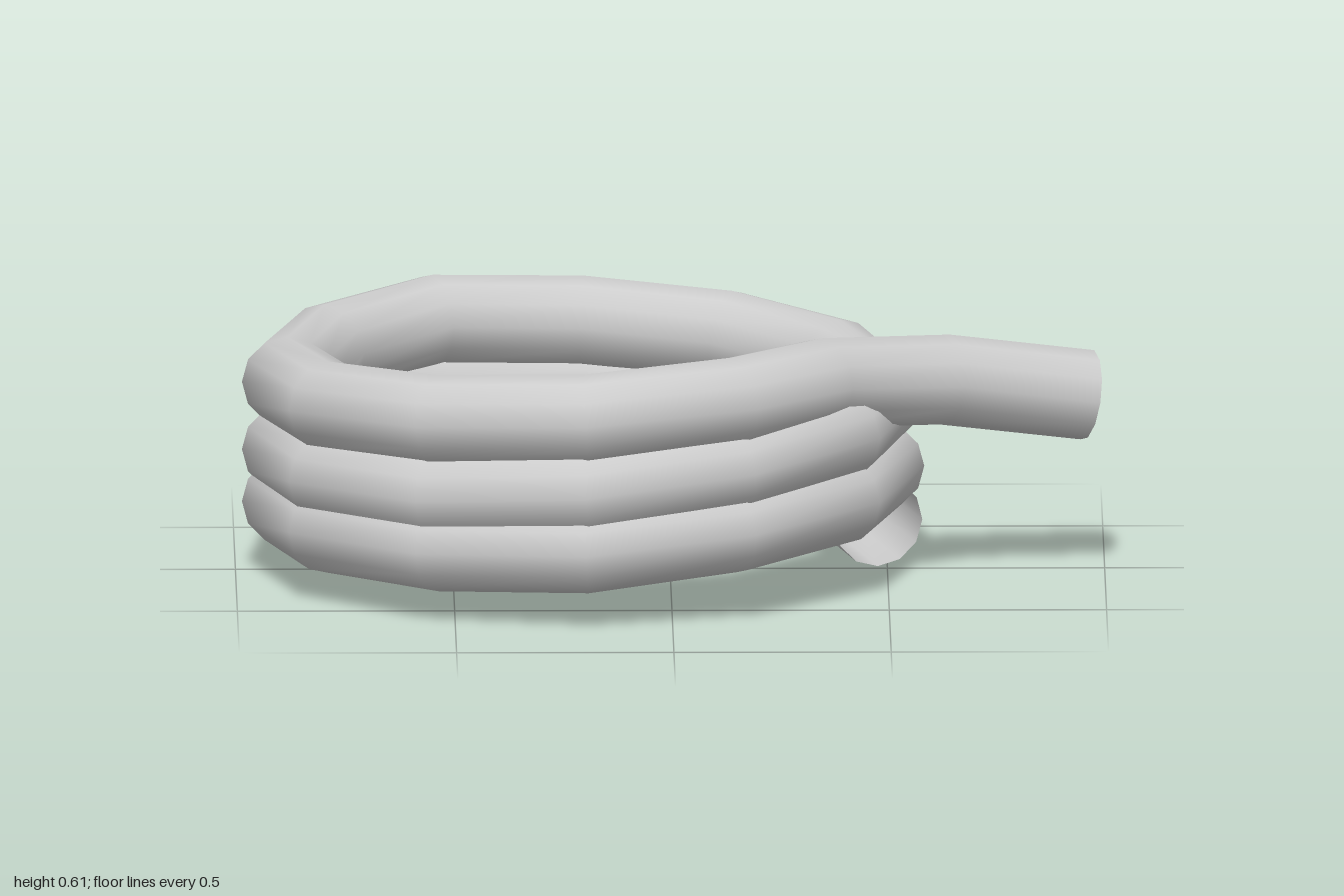
import * as THREE from 'three';

const TUBE_RADIUS = 0.105;
const SIDES = 12;

// Height of the centreline every 30 degrees, one row per turn
const HEIGHTS = [
  [0.105, 0.12, 0.135, 0.143, 0.15, 0.155, 0.16, 0.163, 0.168, 0.18, 0.21, 0.23],
  [0.24, 0.262, 0.285, 0.305, 0.308, 0.292, 0.282, 0.282, 0.29, 0.315, 0.352, 0.38],
  [0.4, 0.415, 0.44, 0.462, 0.478, 0.452, 0.44, 0.448, 0.465, 0.483, 0.505],
];
// How far each turn is drawn in at the back
const BACK_INSET = [0, 0.05, 0.09];

// Twelve-sided coil rising from the lower end, then the straight outlet
function coilPath() {
  const points = [];
  HEIGHTS.forEach((row, turn) => row.forEach((y, i) => {
    const a = i * Math.PI / 6;
    const s = Math.sin(a);
    const inset = 1 - BACK_INSET[turn] * Math.max(0, s) ** 2;
    points.push(new THREE.Vector3(-0.2 + 0.68 * Math.cos(a), y, -0.675 * s * inset));
  }));
  points[0].z = -0.02;
  points.push(
    new THREE.Vector3(0.345, 0.5, 0.335),
    new THREE.Vector3(0.63, 0.465, 0.115),
    new THREE.Vector3(0.96, 0.41, 0.02),
  );
  return points;
}

// Open tube with one ring at each path point, set across the bend
function tubeGeometry(path) {
  const positions = [];
  const normals = [];
  const index = [];
  const worldUp = new THREE.Vector3(0, 1, 0);
  path.forEach((p, i) => {
    const before = path[Math.max(i - 1, 0)];
    const after = path[Math.min(i + 1, path.length - 1)];
    const tangent = new THREE.Vector3();
    if (i > 0) tangent.add(p.clone().sub(before).normalize());
    if (i < path.length - 1) tangent.add(after.clone().sub(p).normalize());
    tangent.normalize();
    const side = tangent.clone().cross(worldUp).normalize();
    const up = side.clone().cross(tangent);
    for (let j = 0; j < SIDES; j++) {
      const a = j / SIDES * Math.PI * 2;
      const n = side.clone().multiplyScalar(Math.cos(a)).addScaledVector(up, Math.sin(a));
      normals.push(n.x, n.y, n.z);
      positions.push(...p.clone().addScaledVector(n, TUBE_RADIUS).toArray());
      if (i < path.length - 1) {
        const k = (j + 1) % SIDES;
        const r0 = i * SIDES;
        const r1 = r0 + SIDES;
        index.push(r0 + j, r0 + k, r1 + k, r0 + j, r1 + k, r1 + j);
      }
    }
  });
  const geometry = new THREE.BufferGeometry();
  geometry.setAttribute('position', new THREE.Float32BufferAttribute(positions, 3));
  geometry.setAttribute('normal', new THREE.Float32BufferAttribute(normals, 3));
  geometry.setIndex(index);
  return geometry;
}

export function createModel() {
  const group = new THREE.Group();
  group.name = 'coiledTube';
  const grey = new THREE.MeshStandardMaterial({ color: 0xcccccc, side: THREE.DoubleSide });
  grey.name = 'light grey';
  const coil = new THREE.Mesh(tubeGeometry(coilPath()), grey);
  coil.name = 'coil';
  group.add(coil);
  return group;
}
